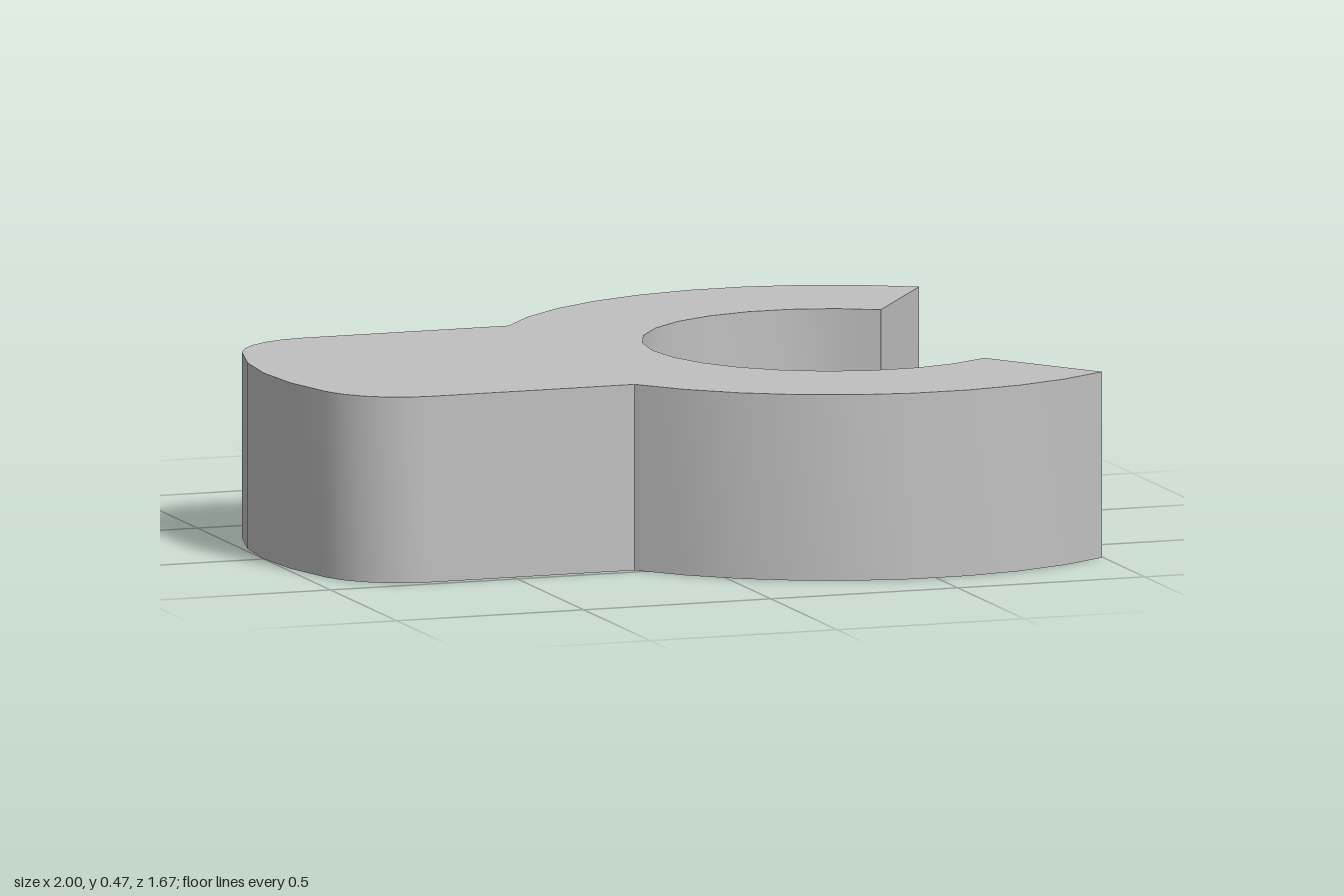
import * as THREE from 'three';
import { toCreasedNormals } from 'three/addons/utils/BufferGeometryUtils.js';

const HEIGHT = 0.475;
const RING_X = 0.515, OUTER = 0.84, INNER = 0.476; // open ring
const HALF_WIDTH = 0.475;                          // handle
const END_X = -0.04, END_R = 0.96, CORNER_R = 0.235;

// points along an arc, from angle a to angle b
function arc(cx, cy, r, a, b, steps) {
  return Array.from({ length: steps + 1 }, (_, i) => {
    const t = a + (b - a) * i / steps;
    return new THREE.Vector2(cx + r * Math.cos(t), cy + r * Math.sin(t));
  });
}

export function createModel() {
  const group = new THREE.Group();
  group.name = 'openRingClip';
  const grey = new THREE.MeshStandardMaterial({ color: 0xc0c0c0 });
  grey.name = 'light grey';

  const mouth = THREE.MathUtils.degToRad(55);
  const joint = Math.PI - Math.asin(HALF_WIDTH / OUTER);

  // rounded corner that meets the curved handle end tangentially
  const cornerY = HALF_WIDTH - CORNER_R;
  const cornerX = END_X - Math.sqrt((END_R - CORNER_R) ** 2 - cornerY ** 2);
  const meet = Math.atan2(cornerY, cornerX - END_X);

  // upper half: outer ring, then handle side and corner
  const upper = [
    ...arc(RING_X, 0, OUTER, mouth, joint, 9),
    ...arc(cornerX, cornerY, CORNER_R, Math.PI / 2, meet, 5),
  ];
  const lower = upper.map(p => new THREE.Vector2(p.x, -p.y)).reverse();
  const handleEnd = arc(END_X, 0, END_R, meet, 2 * Math.PI - meet, 4).slice(1, -1);
  const bore = arc(RING_X, 0, INNER, 2 * Math.PI - mouth, mouth, 18);

  const outline = new THREE.Shape([...upper, ...handleEnd, ...lower, ...bore]);
  const geometry = new THREE.ExtrudeGeometry(outline, { depth: HEIGHT, bevelEnabled: false });
  geometry.rotateX(-Math.PI / 2);

  const body = new THREE.Mesh(toCreasedNormals(geometry, 0.5), grey);
  body.name = 'clipBody';
  group.add(body);
  return group;
}
